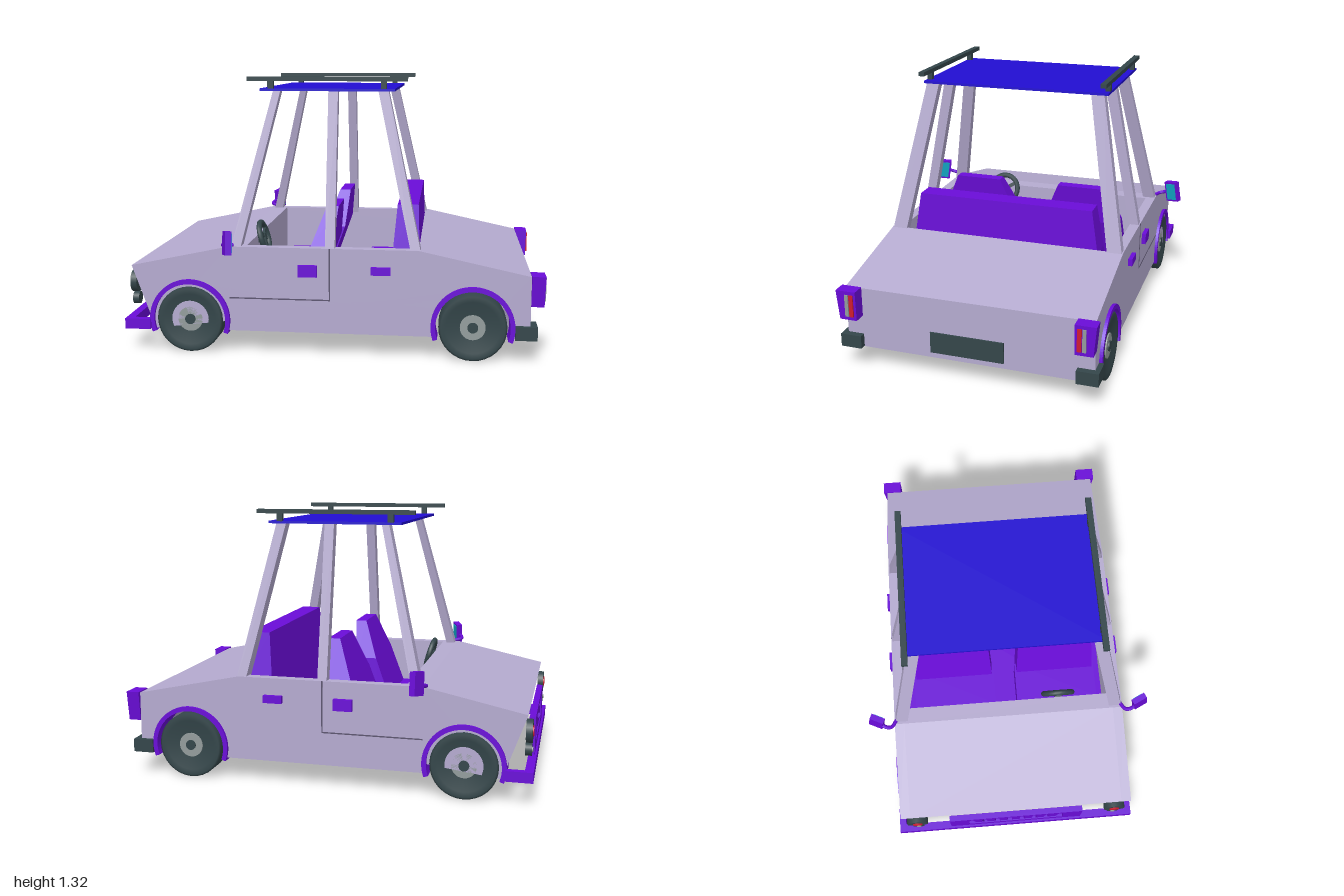
import * as THREE from 'three';

const mat = (name, color, side = THREE.FrontSide) => {
  const m = new THREE.MeshStandardMaterial({ color, side });
  m.name = name;
  return m;
};

export function createModel() {
  const car = new THREE.Group();
  car.name = 'openCar';
  const paint = mat('lavenderPaint', 0xb5abd0);
  const purple = mat('purpleTrim', 0x6a0cd8);
  const blue = mat('blueRoof', 0x220ed2);
  const dark = mat('darkSlate', 0x34464a);
  const grey = mat('hubGrey', 0x939c9c);
  const red = mat('redLamp', 0xd01c30);
  const cyan = mat('mirrorGlass', 0x10a8c4);
  const seam = mat('doorSeam', 0x5c5570);

  const add = (name, geo, material, parent = car) => {
    const mesh = new THREE.Mesh(geo, material);
    mesh.name = name;
    parent.add(mesh);
    return mesh;
  };
  // Box given by its min and max along each axis
  const box = (name, m, x0, x1, y0, y1, z0, z1, parent) => {
    const g = new THREE.BoxGeometry(x1 - x0, y1 - y0, z1 - z0);
    g.translate((x0 + x1) / 2, (y0 + y1) / 2, (z0 + z1) / 2);
    return add(name, g, m, parent);
  };
  // Tapered block between two rectangles [x0, x1, z0, z1] at heights y0 and y1
  const loft = (name, m, y0, bottom, y1, top, s = 1) => {
    const g = new THREE.BoxGeometry(1, 1, 1).toNonIndexed();
    const p = g.attributes.position;
    for (let i = 0; i < p.count; i++) {
      const r = p.getY(i) > 0 ? top : bottom;
      const z = p.getZ(i) * s > 0 ? r[3] : r[2];
      p.setXYZ(i, p.getX(i) > 0 ? r[1] : r[0], p.getY(i) > 0 ? y1 : y0, z * s);
    }
    g.computeVertexNormals();
    return add(name, g, m);
  };
  const disc = (name, m, r, depth, x, y, z, axis) => {
    const g = new THREE.CylinderGeometry(r, r, depth, 24);
    if (axis === 'x') g.rotateZ(Math.PI / 2);
    else g.rotateX(Math.PI / 2);
    g.translate(x, y, z);
    return add(name, g, m);
  };

  const axles = [-0.684, 0.665];
  const axleY = 0.16;

  // Body: side profile with wheel wells; the middle slice has the cabin notch
  const bodySlice = (name, z0, z1, open) => {
    const s = new THREE.Shape();
    const r = 0.18, a = Math.asin((axleY - 0.11) / r);
    s.moveTo(-0.968, 0.11);
    for (const x of axles) s.absarc(x, axleY, r, Math.PI + a, -a, true);
    s.lineTo(0.93, 0.11);
    s.lineTo(0.93, 0.41);
    s.lineTo(0.41, 0.52);
    if (open) {
      s.lineTo(0.41, 0.13);
      s.lineTo(-0.41, 0.13);
      s.lineTo(-0.41, 0.52);
    }
    s.lineTo(-0.49, 0.52);
    s.lineTo(-0.968, 0.418);
    s.closePath();
    const g = new THREE.ExtrudeGeometry(s, { depth: z1 - z0, bevelEnabled: false, curveSegments: 24 });
    g.translate(0, 0, z0);
    add(name, g, paint);
  };
  bodySlice('bodyMiddle', -0.55, 0.55, true);
  bodySlice('leftBodySide', 0.55, 0.6, false);
  bodySlice('rightBodySide', -0.6, -0.55, false);
  box('cabinFloor', purple, -0.41, 0.41, 0.13, 0.138, -0.55, 0.55);

  // Wheels and arch trims
  const tyreProfile = [[0.05, -0.05], [0.15, -0.053], [0.16, -0.047], [0.16, 0.047], [0.15, 0.053], [0.125, 0.05], [0.055, 0.036], [0.001, 0.036]]
    .map(([r, y]) => new THREE.Vector2(r, y));
  tyreProfile.unshift(new THREE.Vector2(0.001, -0.05));
  const archShape = new THREE.Shape();
  archShape.absarc(0, 0, 0.196, -0.34, Math.PI + 0.34, false);
  archShape.absarc(0, 0, 0.174, Math.PI + 0.34, -0.34, true);
  archShape.closePath();
  for (const x of axles) for (const s of [1, -1]) {
    const g = new THREE.LatheGeometry(tyreProfile, 32);
    g.rotateX(s * Math.PI / 2);
    g.translate(x, axleY, s * 0.557);
    add('tyre', g, dark);
    disc('hub', grey, 0.06, 0.03, x, axleY, s * 0.585, 'z');
    disc('hubCap', dark, 0.025, 0.03, x, axleY, s * 0.592, 'z');
    const arch = new THREE.ExtrudeGeometry(archShape, { depth: 0.115, bevelEnabled: false, curveSegments: 28 });
    arch.translate(x, axleY, s > 0 ? 0.5 : -0.615);
    add('wheelArch', arch, purple);
  }

  // Roof plate
  box('roof', blue, -0.36, 0.285, 1.248, 1.26, -0.48, 0.457);

  for (const s of [1, -1]) {
    const side = (name, m, x0, x1, y0, y1, z0, z1) =>
      box(name, m, x0, x1, y0, y1, Math.min(s * z0, s * z1), Math.max(s * z0, s * z1));

    // Pillars
    loft('frontPillar', paint, 0.5, [-0.483, -0.437, 0.535, 0.598], 1.25, [-0.295, -0.26, 0.392, 0.452], s);
    loft('middlePillar', paint, 0.5, [-0.03, 0.016, 0.55, 0.598], 1.25, [-0.03, 0.016, 0.4, 0.452], s);
    loft('rearPillar', paint, 0.5, [0.375, 0.422, 0.525, 0.598], 1.25, [0.207, 0.255, 0.388, 0.452], s);

    // Roof rails on short posts
    const rz = s > 0 ? 0.442 : -0.468;
    box('roofRail', dark, -0.422, 0.345, 1.295, 1.315, rz - 0.014, rz + 0.014);
    for (const x of [-0.308, 0.232]) box('railPost', dark, x - 0.014, x + 0.014, 1.258, 1.3, rz - 0.012, rz + 0.012);

    // Door handles and seams
    side('frontHandle', purple, -0.157, -0.066, 0.385, 0.44, 0.595, 0.621);
    side('rearHandle', purple, 0.188, 0.28, 0.402, 0.438, 0.595, 0.621);
    side('doorSeamLow', seam, -0.49, -0.005, 0.268, 0.274, 0.598, 0.602);
    side('doorSeamUp', seam, -0.011, -0.005, 0.268, 0.52, 0.598, 0.602);

    // Wing mirror
    const stem = new THREE.CatmullRomCurve3([
      new THREE.Vector3(-0.47, 0.525, s * 0.59),
      new THREE.Vector3(-0.505, 0.53, s * 0.615),
      new THREE.Vector3(-0.505, 0.538, s * 0.645),
      new THREE.Vector3(-0.482, 0.55, s * 0.675)]);
    add('mirrorStem', new THREE.TubeGeometry(stem, 10, 0.01, 6), purple);
    const mirror = new THREE.Group();
    mirror.name = 'wingMirror';
    mirror.position.set(-0.475, 0.555, s * 0.688);
    mirror.rotation.set(-s * 0.15, s * 0.42, 0);
    box('mirrorShell', purple, -0.016, 0.014, -0.055, 0.055, -0.037, 0.037, mirror);
    box('mirrorFace', cyan, 0.01, 0.018, -0.045, 0.045, -0.027, 0.027, mirror);
    car.add(mirror);

    // Headlight with small lamp below
    disc('headlight', dark, 0.055, 0.03, -0.972, 0.325, s * 0.52, 'x');
    disc('headlightCentre', red, 0.026, 0.03, -0.977, 0.325, s * 0.52, 'x');
    disc('smallLamp', dark, 0.03, 0.03, -0.97, 0.238, s * 0.52, 'x');
    disc('smallLampCentre', grey, 0.012, 0.03, -0.975, 0.238, s * 0.52, 'x');

    // Tail lamp
    loft('tailLamp', purple, 0.27, [0.93, 0.99, 0.52, 0.605], 0.415, [0.93, 0.994, 0.52, 0.618], s);
    side('tailRed', red, 0.99, 0.999, 0.29, 0.398, 0.532, 0.552);
    side('tailGrey', grey, 0.99, 0.999, 0.29, 0.398, 0.556, 0.573);

    // Rear bumper corner
    side('rearBumperBack', dark, 0.925, 0.962, 0.112, 0.176, 0.52, 0.624);
    side('rearBumperSide', dark, 0.86, 0.93, 0.112, 0.176, 0.595, 0.624);
    side('frontBumperSide', purple, -0.99, -0.875, 0.11, 0.16, 0.595, 0.628);

    // Front seats
    loft('frontSeatLower', purple, 0.138, [-0.25, -0.14, 0.06, 0.5], 0.5, [-0.117, -0.01, 0.08, 0.48], s);
    loft('frontSeatUpper', purple, 0.5, [-0.117, -0.01, 0.08, 0.48], 0.69, [-0.045, 0.012, 0.16, 0.4], s);
    side('frontSeatCushion', purple, -0.36, -0.14, 0.138, 0.3, 0.06, 0.5);
  }

  // Rear bench
  loft('rearSeatBack', purple, 0.138, [0.25, 0.41, -0.5, 0.5], 0.5, [0.283, 0.41, -0.475, 0.475]);
  loft('rearSeatTop', purple, 0.5, [0.283, 0.41, -0.475, 0.475], 0.712, [0.302, 0.402, -0.442, 0.442]);
  box('rearSeatCushion', purple, 0.1, 0.3, 0.138, 0.3, -0.52, 0.52);

  // Steering wheel with spokes and column
  const steering = new THREE.Group();
  steering.name = 'steeringWheel';
  steering.position.set(-0.383, 0.505, 0.27);
  steering.rotation.z = 0.28;
  const rim = new THREE.TorusGeometry(0.076, 0.014, 8, 28);
  rim.rotateY(Math.PI / 2);
  add('rim', rim, dark, steering);
  for (let i = 0; i < 3; i++) {
    const spoke = new THREE.BoxGeometry(0.012, 0.076, 0.018);
    spoke.translate(0, 0.038, 0);
    spoke.rotateX(Math.PI + i * Math.PI * 2 / 3);
    add('spoke', spoke, dark, steering);
  }
  box('column', dark, -0.06, 0.01, -0.018, 0.018, -0.018, 0.018, steering);
  car.add(steering);

  // Front bumper and grille
  box('frontBumper', purple, -1, -0.96, 0.11, 0.16, -0.628, 0.628);
  box('grilleTop', purple, -0.99, -0.96, 0.312, 0.342, -0.35, 0.35);
  box('grilleBottom', purple, -0.99, -0.96, 0.15, 0.2, -0.35, 0.35);
  for (const s of [1, -1]) box('grilleEnd', purple, -0.99, -0.96, 0.15, 0.342, s * 0.3 - 0.05, s * 0.3 + 0.05);
  for (let i = -3; i <= 3; i++) {
    const slat = new THREE.BoxGeometry(0.022, 0.15, 0.042);
    slat.rotateX(i * 0.07);
    slat.translate(-0.974, 0.255, i * 0.068);
    add('grilleSlat', slat, purple);
  }

  // Rear plate
  box('rearPlate', dark, 0.925, 0.938, 0.138, 0.24, -0.178, 0.178);

  return car;
}
